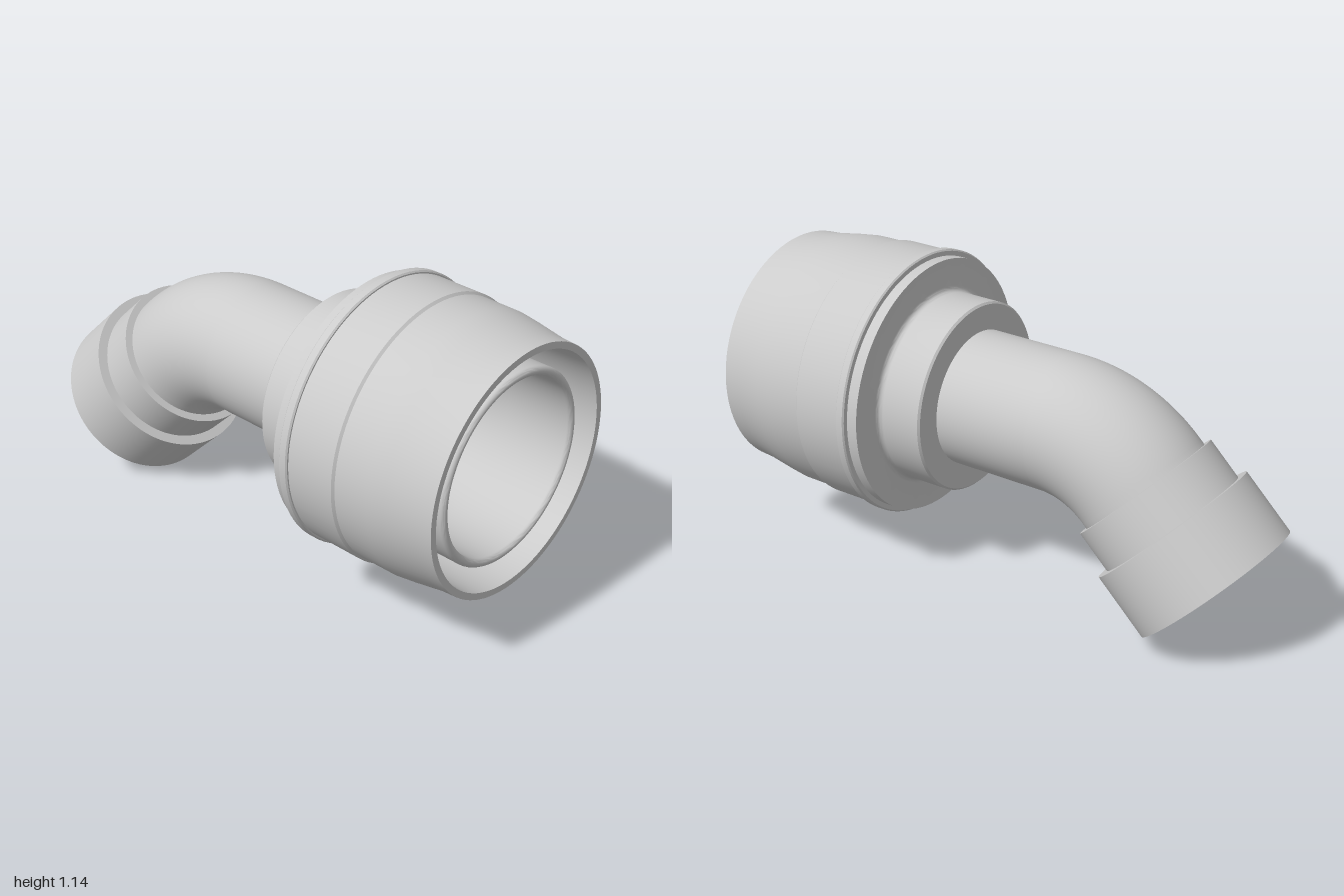
import * as THREE from 'three';
import { toCreasedNormals } from 'three/addons/utils/BufferGeometryUtils.js';

const SEGMENTS = 96;
const AXIS_Y = 0.655;      // height of the straight axis
const BEND_R = 0.45;       // centre-line radius of the elbow
const BEND_X = -0.161;     // where the elbow starts
const BEND_ANGLE = Math.PI / 4;
const PIPE_R = 0.245;
const BORE_R = 0.21;

const material = new THREE.MeshStandardMaterial({ color: 0xcccccc });
const inside = new THREE.MeshStandardMaterial({ color: 0xcccccc, side: THREE.BackSide });

// Revolved part from [distance along axis, radius] pairs: up the outside, back down the inside
function turned(name, profile) {
  const points = profile.map(([along, radius]) => new THREE.Vector2(radius, along));
  const geometry = toCreasedNormals(new THREE.LatheGeometry(points, SEGMENTS), 0.45);
  const mesh = new THREE.Mesh(geometry, material);
  mesh.name = name;
  return mesh;
}

// Elbow surface of the given tube radius
function elbow(name, radius, mat) {
  const mesh = new THREE.Mesh(new THREE.TorusGeometry(BEND_R, radius, SEGMENTS, 32, BEND_ANGLE), mat);
  mesh.name = name;
  mesh.rotation.z = Math.PI / 2;
  mesh.position.set(BEND_X, AXIS_Y - BEND_R, 0);
  return mesh;
}

// Rounded quarter between two profile points, bulging away from the given centre
function quarter(cx, cr, radius, from, to, steps = 5) {
  return Array.from({ length: steps + 1 }, (_, i) => {
    const a = from + (to - from) * i / steps;
    return [cx + radius * Math.cos(a), cr + radius * Math.sin(a)];
  });
}

export function createModel() {
  const group = new THREE.Group();
  group.name = 'elbowPipeFitting';

  // Straight pipe, collar, coupling shell and inner sleeve share one axis
  const coupling = turned('coupling', [
    [BEND_X, PIPE_R], [0.2, PIPE_R],
    // collar with a fillet into the flange
    [0.2, 0.338], [0.207, 0.345],
    ...quarter(0.355, 0.365, 0.02, -Math.PI / 2, 0),
    // stepped flange
    [0.375, 0.465], [0.415, 0.465], [0.415, 0.482], [0.42, 0.487], [0.445, 0.487], [0.45, 0.482],
    // shell
    [0.45, 0.477], [0.632, 0.477], [0.64, 0.469],
    [0.77, 0.468], [0.83, 0.46], [0.94, 0.442], [1, 0.438],
    // recess between shell and sleeve
    [1, 0.414], [0.94, 0.412], [0.7, 0.412], [0.7, 0.343],
    // sleeve with rounded lip
    ...quarter(0.955, 0.328, 0.0155, Math.PI / 2, -Math.PI / 2, 8),
    // cylindrical mouth, taper and bore
    [0.72, 0.312], [0.3, BORE_R], [BEND_X, BORE_R],
  ]);
  coupling.rotation.z = -Math.PI / 2;
  coupling.position.y = AXIS_Y;
  group.add(coupling);

  // Elbow
  group.add(elbow('elbow', PIPE_R, material), elbow('elbowBore', BORE_R, inside));

  // Outlet: small ring, large ring and open socket
  const outlet = turned('outletSocket', [
    [0, PIPE_R], [0.022, PIPE_R], [0.022, 0.272], [0.178, 0.272],
    [0.178, 0.307], [0.425, 0.307],
    [0.425, 0.285], [0.21, 0.275], [0.21, BORE_R], [0, BORE_R],
  ]);
  outlet.rotation.z = Math.PI / 2 + BEND_ANGLE;
  outlet.position.set(
    BEND_X - BEND_R * Math.sin(BEND_ANGLE),
    AXIS_Y - BEND_R * (1 - Math.cos(BEND_ANGLE)),
    0,
  );
  group.add(outlet);

  return group;
}
